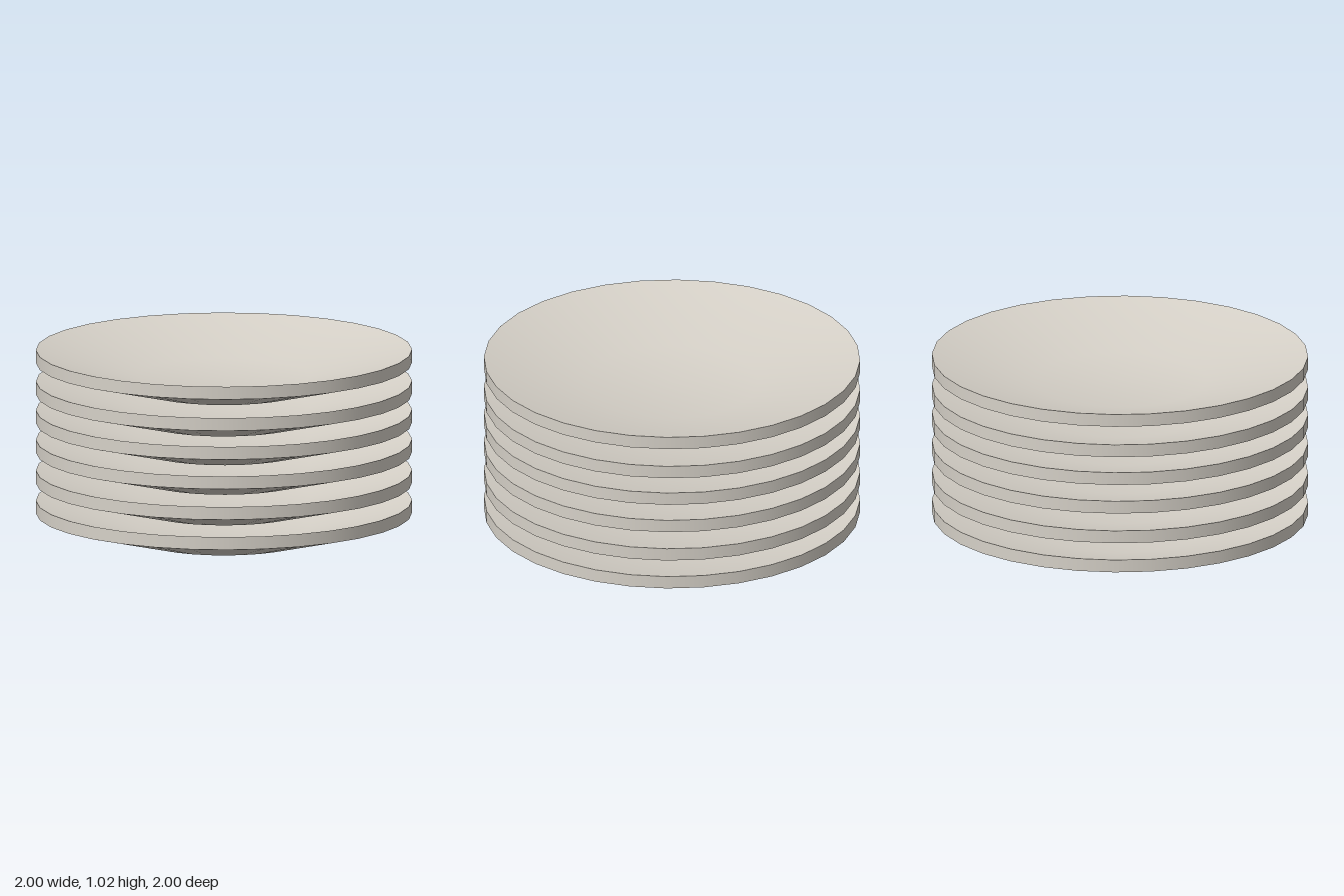
import * as THREE from 'three';

const SEGMENTS = 32;
const BASE_R = 0.46, RIM_R = 1;
const RIM_LOW = 0.139, RIM_TOP = 0.208;
const THICKNESS = RIM_TOP - RIM_LOW;

// Lathe one smooth face of the plate; separate faces keep the rim edges sharp
function lathe(points) {
  return new THREE.LatheGeometry(points.map(([r, y]) => new THREE.Vector2(r, y)), SEGMENTS);
}

export function createModel() {
  const ceramic = new THREE.MeshStandardMaterial({ color: 0xd6d1c8 });
  ceramic.name = 'warm grey ceramic';

  const faces = {
    underside: lathe([[0, 0], [BASE_R, 0], [RIM_R, RIM_LOW]]),
    rim: lathe([[RIM_R, RIM_LOW], [RIM_R, RIM_TOP]]),
    dish: lathe([[RIM_R, RIM_TOP], [BASE_R, THICKNESS], [0, THICKNESS]]),
  };

  const stack = new THREE.Group();
  stack.name = 'plateStack';

  // Slightly uneven stacking heights
  [0, 0.163, 0.329, 0.489, 0.645, 0.815].forEach((y, i) => {
    const plate = new THREE.Group();
    plate.name = `plate${i + 1}`;
    plate.position.y = y;
    for (const [name, geometry] of Object.entries(faces)) {
      const mesh = new THREE.Mesh(geometry, ceramic);
      mesh.name = name;
      plate.add(mesh);
    }
    stack.add(plate);
  });
  return stack;
}
